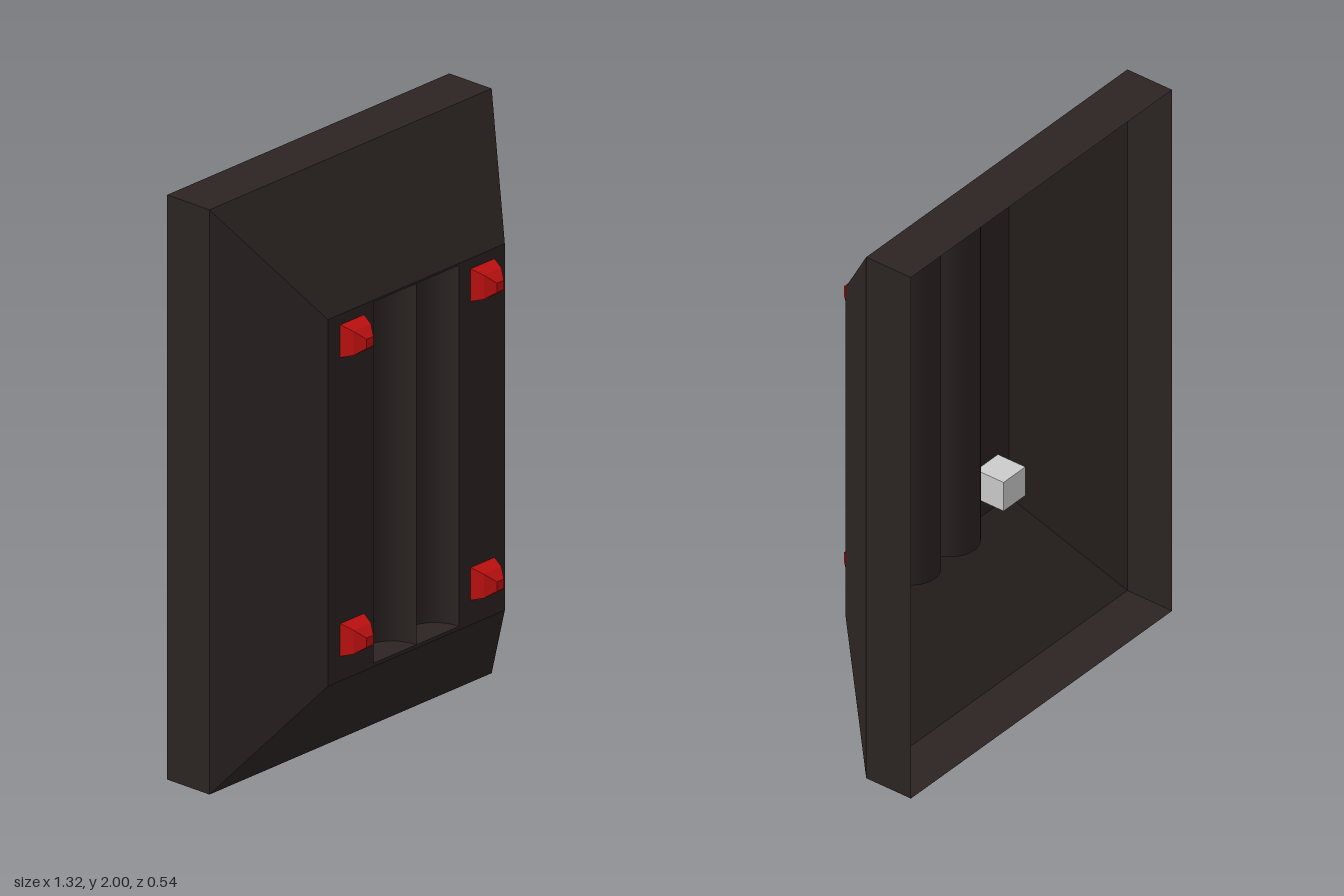
import * as THREE from 'three';

const FRONT = 0.19; // z of the front panel

const dark = new THREE.MeshStandardMaterial({ color: 0x2b2422, side: THREE.DoubleSide });
const darkFlat = new THREE.MeshStandardMaterial({ color: 0x2b2422, side: THREE.DoubleSide, flatShading: true });
const red = new THREE.MeshStandardMaterial({ color: 0xc01010, side: THREE.DoubleSide, flatShading: true });
const grey = new THREE.MeshStandardMaterial({ color: 0xcccccc });

// Four-sided open surface from [half width, z] pairs, facing +z
function squareLoft(profile) {
  const points = profile.map(([half, z]) => new THREE.Vector2(half * Math.SQRT2, z));
  return new THREE.LatheGeometry(points, 4, Math.PI / 4).rotateX(Math.PI / 2);
}

function addMesh(parent, name, geometry, material, x = 0, y = 0, z = 0) {
  const mesh = new THREE.Mesh(geometry, material);
  mesh.name = name;
  mesh.position.set(x, y, z);
  parent.add(mesh);
  return mesh;
}

function rectangle(Type, x, y0, y1) {
  return new Type().setFromPoints([
    new THREE.Vector2(-x, y0), new THREE.Vector2(x, y0),
    new THREE.Vector2(x, y1), new THREE.Vector2(-x, y1),
  ]);
}

export function createModel() {
  const model = new THREE.Group();
  model.name = 'panelHousing';

  // Hollow housing: straight rim and sloped bevels, open at the back
  const shell = squareLoft([[1, -0.27], [1, -0.09], [0.627, FRONT]]).scale(0.66, 1, 1);
  addMesh(model, 'shell', shell, darkFlat, 0, 1, 0);

  // Front panel with an opening for the two grooves
  const face = rectangle(THREE.Shape, 0.414, 0.373, 1.627);
  face.holes.push(rectangle(THREE.Path, 0.2, 0.385, 1.62));
  addMesh(model, 'frontPanel', new THREE.ShapeGeometry(face), dark, 0, 0, FRONT);

  // Half-round troughs sunk behind the panel, closed at both ends
  const trough = new THREE.CylinderGeometry(0.1, 0.1, 1.235, 20, 1, false, Math.PI / 2, Math.PI)
    .scale(1, 1, 1.1);
  for (const x of [-0.1, 0.1]) addMesh(model, 'groove', trough, dark, x, 1.0025, FRONT);

  // Blunt studs in the corners, with blocks behind the lower pair
  const stud = squareLoft([[0.056, 0], [0.041, 0.043], [0.016, 0.076], [0, 0.076]]);
  const block = new THREE.BoxGeometry(0.11, 0.11, 0.11);
  for (const x of [-0.3, 0.31]) {
    for (const y of [0.513, 1.535]) addMesh(model, 'stud', stud, red, x, y, FRONT);
    addMesh(model, 'backBlock', block, grey, x, 0.513, FRONT - 0.057);
  }

  return model;
}
